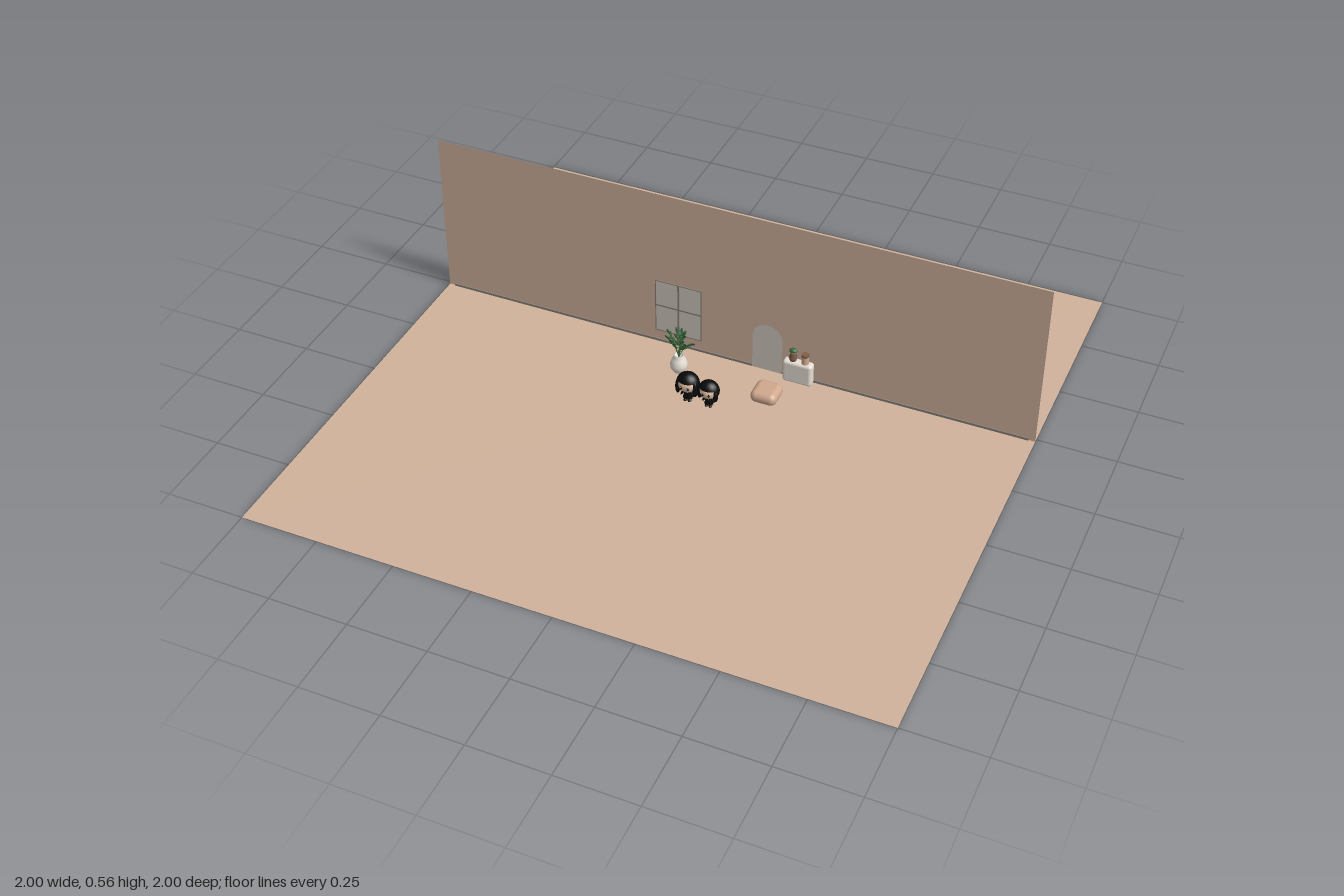
import * as THREE from 'three';
import { RoundedBoxGeometry } from 'three/addons/geometries/RoundedBoxGeometry.js';

const mat = (name, color, side = THREE.FrontSide) => {
  const m = new THREE.MeshStandardMaterial({ color, side });
  m.name = name;
  return m;
};

export function createModel() {
  const clay = mat('clay', 0xd0b29b, THREE.DoubleSide);
  const cream = mat('cream', 0xe6dfd4);
  const stone = mat('stone', 0xcfc8bd, THREE.DoubleSide);
  const grey = mat('grey', 0x8a8178);
  const black = mat('black', 0x0b0a0a, THREE.DoubleSide);
  const skin = mat('skin', 0xeac4a8);
  const green = mat('green', 0x3c6b40);
  const brown = mat('brown', 0x80604a);
  const pink = mat('pink', 0xd0a88e);

  const model = new THREE.Group();
  model.name = 'room';
  const add = (parent, name, geo, material, x = 0, y = 0, z = 0, sx = 1, sy = 1, sz = 1) => {
    const m = new THREE.Mesh(geo, material);
    m.name = name;
    m.position.set(x, y, z);
    m.scale.set(sx, sy, sz);
    parent.add(m);
    return m;
  };
  const group = (name, x, y, z) => {
    const g = new THREE.Group();
    g.name = name;
    g.position.set(x, y, z);
    model.add(g);
    return g;
  };
  const box = (w, h, d) => new THREE.BoxGeometry(w, h, d);
  const ball = new THREE.SphereGeometry(1, 24, 16);
  const lathe = pts => new THREE.LatheGeometry(pts.map(p => new THREE.Vector2(...p)), 24);

  // Floor and wall sheets
  add(model, 'floor', new THREE.PlaneGeometry(2, 2).rotateX(-Math.PI / 2), clay);
  add(model, 'wall', new THREE.PlaneGeometry(2, 0.56), clay, 0, 0.28, -0.24);
  add(model, 'baseboard', box(1.96, 0.008, 0.004), grey, 0, 0.004, -0.238);

  // Window: pane sheet with thin bars
  const win = group('window', -0.172, 0.142, -0.237);
  add(win, 'pane', box(0.158, 0.194, 0.002), stone);
  add(win, 'mullion', box(0.006, 0.194, 0.004), grey, 0, 0, 0.001);
  add(win, 'crossbar', box(0.158, 0.005, 0.004), grey, 0, 0.002, 0.001);
  for (const s of [-1, 1]) {
    add(win, 'sideFrame', box(0.003, 0.194, 0.004), grey, s * 0.078, 0, 0.001);
    add(win, 'endFrame', box(0.158, 0.003, 0.004), grey, 0, s * 0.096, 0.001);
  }

  // Arched panel on the wall
  const arch = new THREE.Shape();
  arch.moveTo(-0.05, 0);
  arch.lineTo(0.05, 0);
  arch.lineTo(0.05, 0.125);
  arch.absarc(0, 0.125, 0.05, 0, Math.PI);
  add(model, 'arch', new THREE.ShapeGeometry(arch, 20), stone, 0.13, 0, -0.236);

  // Cabinet with two ornaments
  const cabinet = group('cabinet', 0.24, 0, -0.222);
  add(cabinet, 'cabinetBody', new RoundedBoxGeometry(0.096, 0.08, 0.033, 3, 0.01), cream, 0, 0.04, 0);
  add(cabinet, 'urn', lathe([[0, 0], [0.01, 0], [0.014, 0.012], [0.008, 0.027], [0.012, 0.034], [0, 0.034]]), brown, -0.018, 0.079, 0);
  add(cabinet, 'urnPlant', ball, green, -0.018, 0.116, 0, 0.013, 0.008, 0.01);
  add(cabinet, 'jar', new THREE.CylinderGeometry(0.011, 0.012, 0.027, 20), pink, 0.022, 0.093, 0);
  add(cabinet, 'jarLid', new THREE.CylinderGeometry(0.012, 0.012, 0.008, 20), brown, 0.022, 0.11, 0);

  // Low cushioned pouf, squarish from above
  add(model, 'pouf', new RoundedBoxGeometry(0.086, 0.042, 0.088, 6, 0.0205), pink, 0.182, 0.022, -0.107);

  // Vase with leafy stems
  const plant = group('plant', -0.122, 0, -0.125);
  add(plant, 'vase', lathe([[0, 0], [0.018, 0], [0.026, 0.012], [0.028, 0.028], [0.022, 0.046], [0.015, 0.054], [0.017, 0.062], [0.012, 0.062], [0.01, 0.05], [0, 0.05]]), cream);
  const leaf = new THREE.SphereGeometry(1, 8, 6);
  const stemCount = 9;
  for (let i = 0; i < stemCount; i++) {
    const a = i * 2.4, reach = 0.3 + 0.7 * ((i * 0.618) % 1);
    const tip = new THREE.Vector3(Math.cos(a) * 0.052 * reach, 0.15 - 0.028 * reach, Math.sin(a) * 0.033 * reach);
    const curve = new THREE.QuadraticBezierCurve3(
      new THREE.Vector3(0, 0.05, 0), new THREE.Vector3(tip.x * 0.3, 0.1, tip.z * 0.3), tip);
    add(plant, 'stem', new THREE.TubeGeometry(curve, 8, 0.0011, 5), green);
    for (let j = 0; j < 5; j++) {
      const t = 0.5 + j * 0.125, p = curve.getPoint(t), dir = curve.getTangent(t);
      const turn = a + (j % 2 ? 1.2 : -1.2);
      if (j < 4) dir.add(new THREE.Vector3(Math.cos(turn), 0.2, Math.sin(turn)).multiplyScalar(0.9)).normalize();
      p.addScaledVector(dir, 0.007);
      const l = add(plant, 'leaf', leaf, green, p.x, p.y, p.z, 0.0045, 0.0105, 0.0015);
      l.quaternion.setFromUnitVectors(new THREE.Vector3(0, 1, 0), dir);
    }
  }

  // Two small round-headed figures, modelled 0.107 tall
  const hairShell = new THREE.SphereGeometry(1, 28, 18, Math.PI / 2 + 0.8, Math.PI * 2 - 1.6, 0, 2.5);
  const fringe = new THREE.SphereGeometry(1, 24, 10, 0, Math.PI * 2, 0, 1.2);
  const makeFigure = (name, x, size, longHair) => {
    const f = group(name, x, 0, 0);
    f.scale.setScalar(size);
    add(f, 'head', ball, skin, 0, 0.068, 0.002, 0.03, 0.028, 0.027);
    add(f, 'hair', hairShell, black, 0, 0.07, -0.002, 0.037, 0.037, 0.032);
    add(f, 'fringe', fringe, black, 0, 0.07, -0.001, 0.036, 0.037, 0.032);
    add(f, 'backHair', ball, black, 0, 0.056, -0.015, 0.032, longHair ? 0.034 : 0.026, 0.018);
    add(f, 'torso', new THREE.CylinderGeometry(0.009, 0.016, 0.03, 20), black, 0, 0.028, 0, 1, 1, 0.75);
    add(f, 'collar', ball, cream, 0, 0.039, 0.006, 0.006, 0.003, 0.004);
    for (const s of [-1, 1]) {
      add(f, 'sideLock', ball, black, s * 0.029, 0.058, 0.009, 0.008, longHair ? 0.028 : 0.022, 0.011);
      add(f, 'eye', ball, black, s * 0.011, 0.066, 0.0268, 0.004, 0.0055, 0.002);
      add(f, 'eyeGlint', ball, cream, s * 0.011 - 0.001, 0.068, 0.0285, 0.0012, 0.0014, 0.0006);
      const arm = add(f, 'arm', new THREE.CapsuleGeometry(0.0038, 0.014, 4, 10), black, s * 0.016, 0.031, 0.002);
      arm.rotation.z = s * 0.5;
      add(f, 'hand', ball, skin, s * 0.021, 0.021, 0.002, 0.004, 0.004, 0.004);
      add(f, 'leg', new THREE.CylinderGeometry(0.0045, 0.0045, 0.012, 12), skin, s * 0.007, 0.01, 0);
      add(f, 'shoe', ball, black, s * 0.007, 0.004, 0.002, 0.006, 0.004, 0.008);
    }
    add(f, 'mouth', ball, brown, 0, 0.0555, 0.0262, 0.003, 0.001, 0.001);
  };
  makeFigure('tallerFigure', -0.036, 1, true);
  makeFigure('shorterFigure', 0.034, 0.91, false);

  return model;
}
